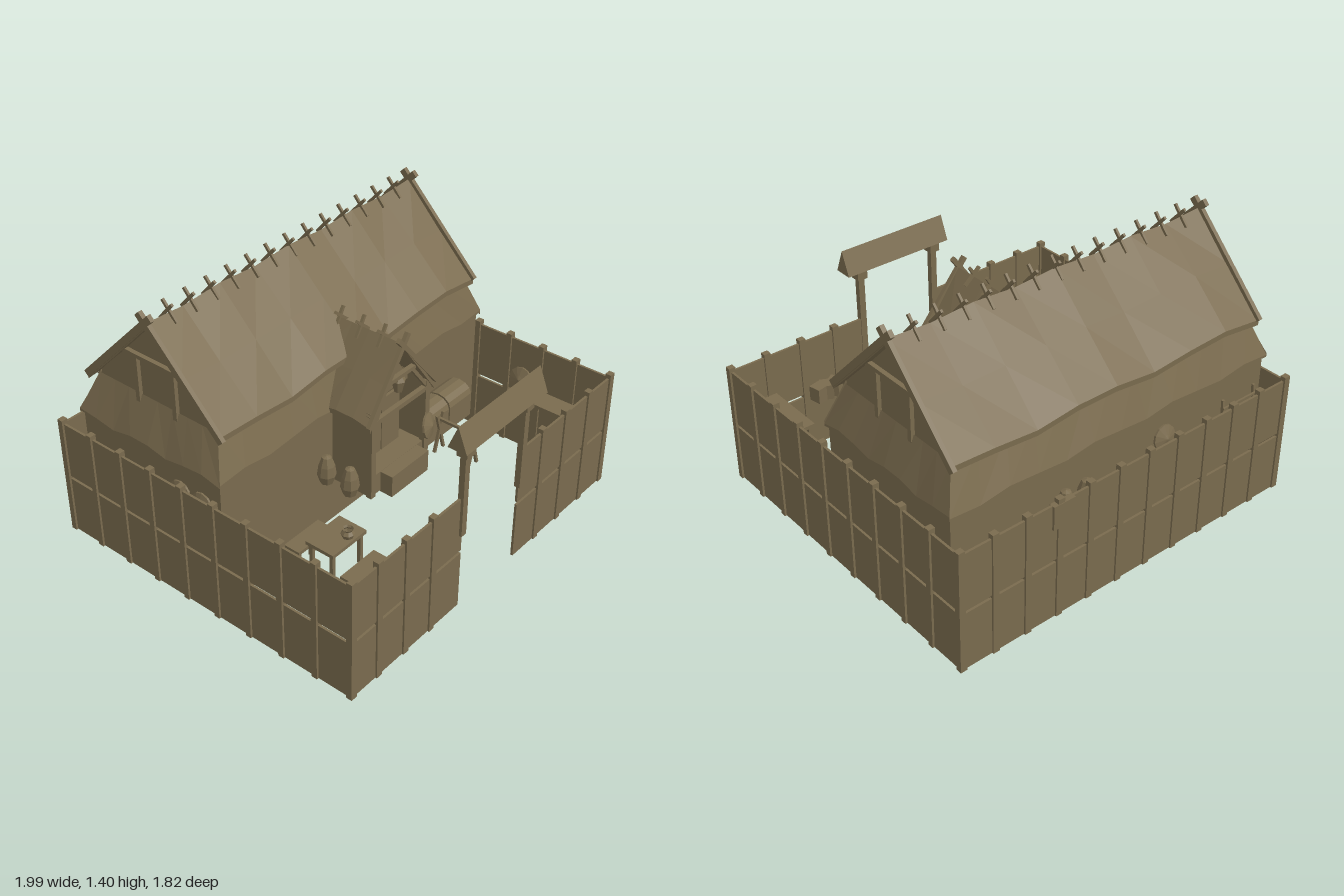
import * as THREE from 'three';

const timber = new THREE.MeshStandardMaterial({ color: 0x7a6b4e, side: THREE.DoubleSide, flatShading: true });
timber.name = 'weatheredTimber';
const GROUND = 0.32; // level of the yard

function add(parent, name, geo, x = 0, y = 0, z = 0) {
  const m = new THREE.Mesh(geo, timber);
  m.name = name;
  m.position.set(x, y, z);
  parent.add(m);
  return m;
}
// box given by its limits on each axis
function box(parent, name, x0, x1, y0, y1, z0, z1) {
  return add(parent, name, new THREE.BoxGeometry(x1 - x0, y1 - y0, z1 - z0),
    (x0 + x1) / 2, (y0 + y1) / 2, (z0 + z1) / 2);
}
// square beam between two points
function beam(parent, name, a, b, w, d = w) {
  const p = new THREE.Vector3(...a), q = new THREE.Vector3(...b);
  const m = add(parent, name, new THREE.BoxGeometry(w, d, p.distanceTo(q)));
  m.position.copy(p).add(q).multiplyScalar(0.5);
  m.lookAt(q);
  return m;
}
// thick sheet: rule maps u, v (0..1) to the surface, t is its height
function slab(parent, name, nu, nv, t, rule) {
  const g = new THREE.BoxGeometry(1, 1, 1, nu, 1, nv), p = g.attributes.position;
  for (let i = 0; i < p.count; i++) {
    const [x, y, z] = rule(p.getX(i) + 0.5, p.getZ(i) + 0.5);
    p.setXYZ(i, x, y + (p.getY(i) - 0.5) * t, z);
  }
  g.computeVertexNormals();
  return add(parent, name, g);
}
const wave = (u, k, ph = 0) => Math.sin(u * Math.PI * 2 * k + ph);
const points = list => list.map(([x, y]) => new THREE.Vector2(x, y));

function sack(parent, x, y, z, r = 0.046, h = 0.15) {
  const profile = points([[0, 0], [r * 0.7, 0], [r, h * 0.3], [r * 0.85, h * 0.65], [r * 0.5, h * 0.95], [0, h]]);
  add(parent, 'sack', new THREE.LatheGeometry(profile, 8), x, y, z);
}
function shield(parent, x, y, z, ry, lean) {
  const profile = points([[0, 0.025], [0.02, 0.018], [0.065, 0.005], [0.065, -0.005], [0, -0.005]]);
  const m = add(parent, 'roundShield', new THREE.LatheGeometry(profile, 12), x, y, z);
  m.rotation.set(Math.PI / 2 - lean, ry, 0, 'YXZ');
}

function buildFence(root) {
  const f = new THREE.Group();
  f.name = 'fence';
  root.add(f);
  const X = 0.98, ZF = 0.855, ZB = -0.89, T = 0.006;
  for (const [lo, hi] of [[0, 0.308], [0.325, 0.625]]) {
    for (const s of [-1, 1]) box(f, 'sidePanel', s * X - T, s * X + T, lo, hi, ZB, ZF);
    box(f, 'backPanel', -X, X, lo, hi, ZB - T, ZB + T);
    box(f, 'frontPanelRight', -X, -0.23, lo, hi, ZF - T, ZF + T);
    box(f, 'frontPanelLeft', 0.21, X, lo, hi, ZF - T, ZF + T);
  }
  const post = (x, z) => box(f, 'fencePost', x - 0.017, x + 0.017, 0, 0.648, z - 0.015, z + 0.015);
  for (const x of [-0.98, -0.81, -0.625, -0.44, 0.39, 0.585, 0.785, 0.98]) post(x, ZF);
  for (let i = 0; i <= 11; i++) post(-X + (2 * X * i) / 11, ZB);
  for (let i = 1; i < 9; i++) for (const s of [-1, 1]) post(s * X, ZB + ((ZF - ZB) * i) / 9);
}

function buildGate(root) {
  const g = new THREE.Group();
  g.name = 'gate';
  root.add(g);
  for (const x of [-0.235, 0.215]) {
    box(g, 'gatePost', x - 0.017, x + 0.017, 0.42, 0.88, 0.845, 0.875);
    box(g, 'postCap', x - 0.028, x + 0.028, 0.855, 0.895, 0.832, 0.888);
  }
  box(g, 'gateBeam', -0.27, 0.27, 0.892, 0.935, 0.84, 0.88);
  const tri = new THREE.Shape(points([[-0.05, 0.91], [0.05, 0.91], [0, 1.035]]));
  const roof = add(g, 'gateRoof', new THREE.ExtrudeGeometry(tri, { depth: 0.61, bevelEnabled: false }), -0.3, 0, 0.86);
  roof.rotation.y = Math.PI / 2;
}

function buildHall(root) {
  const h = new THREE.Group();
  h.name = 'hall';
  root.add(h);
  // hollow walls, open below
  const X = 0.925, ZB = -0.775, ZF = 0.085;
  for (const s of [-1, 1]) box(h, 'endWall', s * X - 0.01, s * X + 0.01, 0.08, 0.745, ZB, ZF);
  box(h, 'frontWall', -X, X, 0.08, 0.745, ZF - 0.02, ZF);
  box(h, 'backWall', -X, X, 0.08, 0.745, ZB, ZB + 0.02);
  // flared lower roof skirt
  for (const [z0, z1] of [[0.1, 0.025], [-0.79, -0.705]])
    slab(h, 'skirtRoof', 12, 1, 0.012, (u, v) => {
      const x = (u - 0.5) * 2 * (0.948 - 0.078 * v);
      return [x, (0.73 + 0.013 * wave(u, 4)) * (1 - v) + 0.945 * v, z0 + (z1 - z0) * v];
    });
  for (const s of [-1, 1])
    slab(h, 'skirtRoofEnd', 8, 1, 0.012, (u, v) => {
      const a = -0.79 + 0.085 * v, b = 0.1 - 0.075 * v;
      return [s * (0.948 - 0.078 * v), (0.727 + 0.014 * wave(u, 2.5, 1)) * (1 - v) + 0.93 * v, a + (b - a) * u];
    });
  // steep upper roof
  for (const s of [-1, 1])
    slab(h, 'mainRoof', 8, 2, 0.028, (u, v) => {
      const ridge = 1.338 + 0.008 * wave(u, 4, 1), eave = 0.935 + 0.016 * wave(u, 2.5, s);
      return [(u - 0.5) * 1.81, ridge + (eave - ridge) * v + 0.01 * wave(u, 3.5, s) * v * (1 - v) * 2, -0.34 + s * 0.415 * v];
    });
  // gable ends with their timbers
  const tri = new THREE.Shape(points([[-0.4, 0.91], [0.4, 0.91], [0, 1.325]]));
  for (const s of [-1, 1]) {
    const wall = add(h, 'gableWall', new THREE.ExtrudeGeometry(tri, { depth: 0.01, bevelEnabled: false }), s * 0.855, 0, -0.34);
    wall.rotation.y = s * Math.PI / 2;
    box(h, 'gableTie', s * 0.875 - 0.012, s * 0.875 + 0.012, 1.125, 1.145, -0.52, -0.16);
    for (const z of [-0.45, -0.22]) box(h, 'gableStud', s * 0.875 - 0.01, s * 0.875 + 0.01, 0.89, 1.13, z - 0.012, z + 0.012);
    for (const d of [-1, 1])
      beam(h, 'bargeBoard', [s * 0.9, 0.92, -0.34 + d * 0.42], [s * 0.9, 1.385, -0.34 - d * 0.038], 0.022, 0.034);
  }
  // crossed ridge sticks
  for (let i = -6; i <= 6; i++)
    for (const d of [-1, 1])
      beam(h, 'ridgeStick', [i * 0.128 + d * 0.005, 1.3, -0.34 + d * 0.045], [i * 0.128 + d * 0.005, 1.39, -0.34 - d * 0.035], 0.012, 0.014);
}

function buildPorch(root) {
  const p = new THREE.Group();
  p.name = 'porch';
  p.position.x = 0.012;
  root.add(p);
  for (const s of [-1, 1]) {
    slab(p, 'porchRoof', 2, 4, 0.025, (u, v) => {
      const ridge = 1.07 + 0.008 * wave(v, 2), eave = 0.75 + 0.014 * wave(v, 1.5, 2);
      return [s * 0.24 * u, ridge + (eave - ridge) * u, -0.07 + 0.405 * v];
    });
    beam(p, 'porchBargeBoard', [s * 0.25, 0.745, 0.33], [-s * 0.035, 1.115, 0.33], 0.02, 0.024);
    box(p, 'porchWall', s * 0.2 - 0.008, s * 0.2 + 0.008, GROUND, 0.79, 0.08, 0.31);
    box(p, 'porchPost', s * 0.2 - 0.016, s * 0.2 + 0.016, GROUND, 0.78, 0.295, 0.327);
    beam(p, 'porchBrace', [s * 0.19, 0.74, 0.315], [s * 0.09, 0.9, 0.315], 0.018);
    box(p, 'doorLeaf', s * 0.069 - 0.066, s * 0.069 + 0.066, 0.43, 0.72, 0.195, 0.21);
    for (const z of [-0.04, 0.085, 0.21])
      beam(p, 'porchRidgeStick', [s * 0.045, 1.03, z], [-s * 0.03, 1.115, z], 0.014);
  }
  box(p, 'porchBase', -0.2, 0.2, GROUND, 0.43, 0.295, 0.315);
  box(p, 'porchFloor', -0.2, 0.2, 0.41, 0.43, 0.08, 0.3);
  box(p, 'porchTie', -0.23, 0.23, 0.72, 0.745, 0.3, 0.325);
  box(p, 'porchCollar', -0.1, 0.1, 0.89, 0.91, 0.3, 0.325);
  const tri = new THREE.Shape(points([[-0.21, 0.74], [0.21, 0.74], [0, 1.03]]));
  add(p, 'porchGable', new THREE.ExtrudeGeometry(tri, { depth: 0.01, bevelEnabled: false }), 0, 0, 0.2);
  box(p, 'doorStep', -0.14, 0.135, GROUND, 0.435, 0.32, 0.39);
  const drop = points([[0, 0], [0.02, 0.01], [0.035, 0.07], [0.015, 0.1], [0, 0.11]]);
  add(p, 'hangingLantern', new THREE.LatheGeometry(drop, 6), 0, 0.8, 0.305);
}

function buildYard(root) {
  const y = new THREE.Group();
  y.name = 'yard';
  root.add(y);
  // tables and benches: a top on four legs
  const table = (name, x0, x1, z0, z1, top) => {
    box(y, name, x0, x1, top - 0.018, top, z0, z1);
    for (const x of [x0 + 0.02, x1 - 0.02]) for (const z of [z0 + 0.02, z1 - 0.02])
      box(y, name + 'Leg', x - 0.009, x + 0.009, GROUND, top - 0.01, z - 0.009, z + 0.009);
  };
  table('table', -0.78, -0.555, 0.43, 0.585, 0.5);
  table('bench', -0.78, -0.555, 0.305, 0.39, 0.41);
  table('bench', -0.78, -0.555, 0.625, 0.71, 0.41);
  table('longBench', 0.78, 0.9, 0.465, 0.8, 0.44);
  const pot = points([[0, 0], [0.025, 0], [0.032, 0.02], [0.02, 0.035], [0.026, 0.045]]);
  add(y, 'pot', new THREE.LatheGeometry(pot, 8), -0.64, 0.5, 0.55);
  box(y, 'tableCloth', -0.75, -0.63, 0.4, 0.49, 0.42, 0.427);
  // sacks by the porch, in the corner and behind the hall
  for (const [x, h, z] of [[-0.29, 0.38, 0.13], [-0.29, 0.38, 0.27], [-0.905, GROUND, 0.775],
    [0.23, 0.45, -0.825], [0.35, 0.45, -0.825]]) sack(y, x, h, z);
  // round-topped chests beside the porch
  const lid = new THREE.Shape();
  lid.moveTo(-0.075, 0); lid.lineTo(0.075, 0); lid.lineTo(0.075, 0.1);
  lid.absellipse(0, 0.1, 0.075, 0.055, 0, Math.PI, false);
  lid.lineTo(-0.075, 0);
  for (const x of [0.325, 0.51]) {
    const c = add(y, 'chest', new THREE.ExtrudeGeometry(lid, { depth: 0.175, bevelEnabled: false, curveSegments: 3 }), x, GROUND, 0.175);
    c.rotation.y = Math.PI / 2;
  }
  // drying rack
  for (const z of [0.33, 0.53]) for (const d of [-1, 1])
    beam(y, 'rackLeg', [0.315 + d * 0.035, GROUND, z], [0.315 - d * 0.025, 0.53, z], 0.014);
  beam(y, 'rackBar', [0.315, 0.5, 0.31], [0.315, 0.5, 0.55], 0.014);
  // bundles by the gate
  [[0.46, 0.6], [0.51, 1.1], [0.555, 0.2]].forEach(([x, r]) => {
    box(y, 'bundle', x - 0.033, x + 0.033, GROUND, 0.4, 0.74, 0.806).rotation.y = r;
  });
  // shields leaning on fence, walls and porch
  shield(y, 0.95, 0.42, 0.37, -Math.PI / 2, 0.25);
  shield(y, -0.27, 0.57, -0.8, Math.PI, 0.15);
  shield(y, 0.2, 0.53, 0.345, 0.3, 0.2);
  for (const z of [-0.025, -0.16]) shield(y, -0.945, 0.56, z, -Math.PI / 2, 0.1);
  // ladder and hanging cloth on the back
  for (const x of [-0.87, -0.66]) beam(y, 'ladderRail', [x, GROUND, -0.815], [x, 0.6, -0.795], 0.014);
  for (let i = 0; i < 5; i++) beam(y, 'ladderRung', [-0.88, 0.36 + i * 0.05, -0.81], [-0.65, 0.36 + i * 0.05, -0.81], 0.01);
  box(y, 'fenceCloth', 0.37, 0.49, 0.5, 0.625, -0.908, -0.877);
}

export function createModel() {
  const root = new THREE.Group();
  root.name = 'palisadedHall';
  buildFence(root);
  buildGate(root);
  buildHall(root);
  buildPorch(root);
  buildYard(root);
  return root;
}
